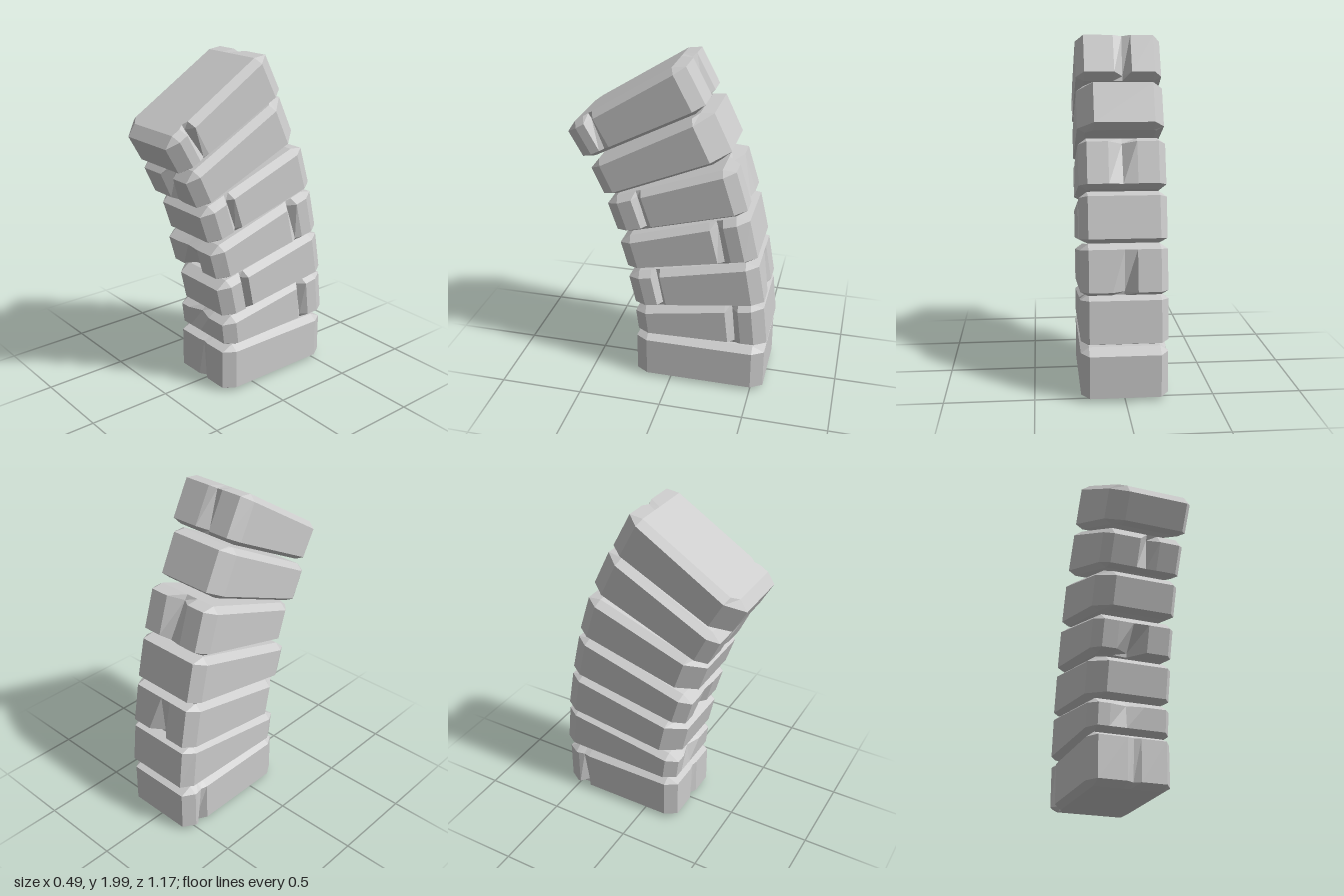
import * as THREE from 'three';

const HALF = 0.243;               // half width of every stone
const BX = 0.045, BS = 0.09;      // bevel across the width / along the length (fraction)
const clamp = THREE.MathUtils.clamp;

// Side faces as [z, y]: front top, front bottom, back bottom, back top.
// chips: bevel scale at corners front-x, front+x, back+x, back-x.
// cracks: [edge, position, half width, depth at bottom, depth at top]
const STONES = [
  { quad: [[0.217, 0.27], [0.217, 0.03], [-0.574, 0.03], [-0.574, 0.27]],
    cracks: [['front', 0.01, 0.04, 0.03, 0.01], ['minus', 0.84, 0.05, 0.05, 0.01]] },
  { quad: [[0.22, 0.45], [0.205, 0.325], [-0.585, 0.345], [-0.56, 0.58]],
    cracks: [['front', -0.03, 0.1, 0, 0.04], ['plus', 0.76, 0.05, 0.035, 0.05]] },
  { quad: [[0.257, 0.685], [0.22, 0.515], [-0.56, 0.625], [-0.52, 0.855]], chips: [2, 1, 1, 1],
    cracks: [['plus', 0.22, 0.035, 0.04, 0.05], ['back', 0.0, 0.07, 0.08, 0]] },
  { quad: [[0.304, 0.912], [0.262, 0.76], [-0.51, 0.912], [-0.458, 1.14]],
    cracks: [['front', -0.02, 0.09, 0.11, 0.01], ['plus', 0.76, 0.05, 0.02, 0.05]] },
  { quad: [[0.373, 1.157], [0.32, 0.997], [-0.442, 1.204], [-0.373, 1.427]], chips: [2, 1, 1, 1],
    cracks: [['plus', 0.24, 0.04, 0.03, 0.04], ['back', 0.0, 0.08, 0.02, 0.08]] },
  { quad: [[0.463, 1.37], [0.394, 1.22], [-0.336, 1.528], [-0.235, 1.74]], chips: [1, 1, 2, 1.3],
    cracks: [['front', 0.02, 0.06, 0.01, 0.1]] },
  { quad: [[0.59, 1.58], [0.51, 1.438], [-0.193, 1.798], [-0.087, 2.0]], chips: [2, 1, 1, 1],
    cracks: [['plus', 0.2, 0.04, 0.01, 0.06], ['back', -0.02, 0.05, 0.08, 0.02]] },
];

// Outline of one level as [x, s], s running 0 (front) to 1 (back),
// counter-clockwise from above, with the cracks cut in as V-shaped notches
function outline({ chips = [1, 1, 1, 1], cracks = [] }, top) {
  const bx = chips.map((c) => HALF - BX * c);
  const bs = chips.map((c) => BS * (1 + (c - 1) * 0.6));
  const notch = (edge, dir, place) => cracks.filter((c) => c[0] === edge).flatMap(([, p, w, low, high]) =>
    [place(p - dir * w, 0), place(p, top ? high : low), place(p + dir * w, 0)]);
  return [
    [-bx[0], 0], ...notch('front', 1, (p, d) => [p, d]), [bx[1], 0],
    [HALF, bs[1]], ...notch('plus', 1, (p, d) => [HALF - d, p]), [HALF, 1 - bs[2]],
    [bx[2], 1], ...notch('back', -1, (p, d) => [p, 1 - d]), [-bx[3], 1],
    [-HALF, 1 - bs[3]], ...notch('minus', -1, (p, d) => [-HALF + d, p]), [-HALF, bs[0]],
  ];
}

function stoneGeometry(stone) {
  const [ft, fb, bb, bt] = stone.quad.map(([z, y]) => new THREE.Vector3(0, y, z));

  // A level follows the top or bottom edge of the side face; caps are inset and pushed out
  const level = (top, cap) => {
    const from = top ? ft : fb, to = top ? bt : bb;
    const along = to.clone().sub(from).normalize();
    const up = new THREE.Vector3(0, -along.z, along.y);
    const push = cap ? (top ? 0.033 : -0.024) : 0;
    const place = (x, s) => from.clone().lerp(to, s).addScaledVector(up, push).setX(x);
    const ring = outline(stone, top).map(([x, s]) => cap
      ? place(clamp(x, BX - HALF, HALF - BX), clamp(s, BS, 1 - BS))
      : place(x, s));
    return { ring, center: place(0, 0.5) };
  };
  const levels = [level(false, true), level(false, false), level(true, false), level(true, true)];

  const pos = [];
  const tri = (a, b, c) => {
    const area = b.clone().sub(a).cross(c.clone().sub(a)).length();
    if (area > 1e-7) pos.push(...a.toArray(), ...b.toArray(), ...c.toArray());
  };
  const n = levels[0].ring.length;
  for (let i = 0; i < n; i++) {
    const j = (i + 1) % n;
    for (let k = 0; k < 3; k++) {
      const lo = levels[k].ring, hi = levels[k + 1].ring;
      tri(lo[i], lo[j], hi[j]);
      tri(lo[i], hi[j], hi[i]);
    }
    tri(levels[0].center, levels[0].ring[j], levels[0].ring[i]);
    tri(levels[3].center, levels[3].ring[i], levels[3].ring[j]);
  }
  const geometry = new THREE.BufferGeometry();
  geometry.setAttribute('position', new THREE.Float32BufferAttribute(pos, 3));
  geometry.computeVertexNormals();
  return geometry;
}

export function createModel() {
  const group = new THREE.Group();
  group.name = 'leaningStoneStack';
  const material = new THREE.MeshStandardMaterial({ color: 0xcccccc, flatShading: true });
  STONES.forEach((stone, i) => {
    const mesh = new THREE.Mesh(stoneGeometry(stone), material);
    mesh.name = i === 0 ? 'baseStone' : `wedgeStone${i}`;
    group.add(mesh);
  });
  return group;
}
